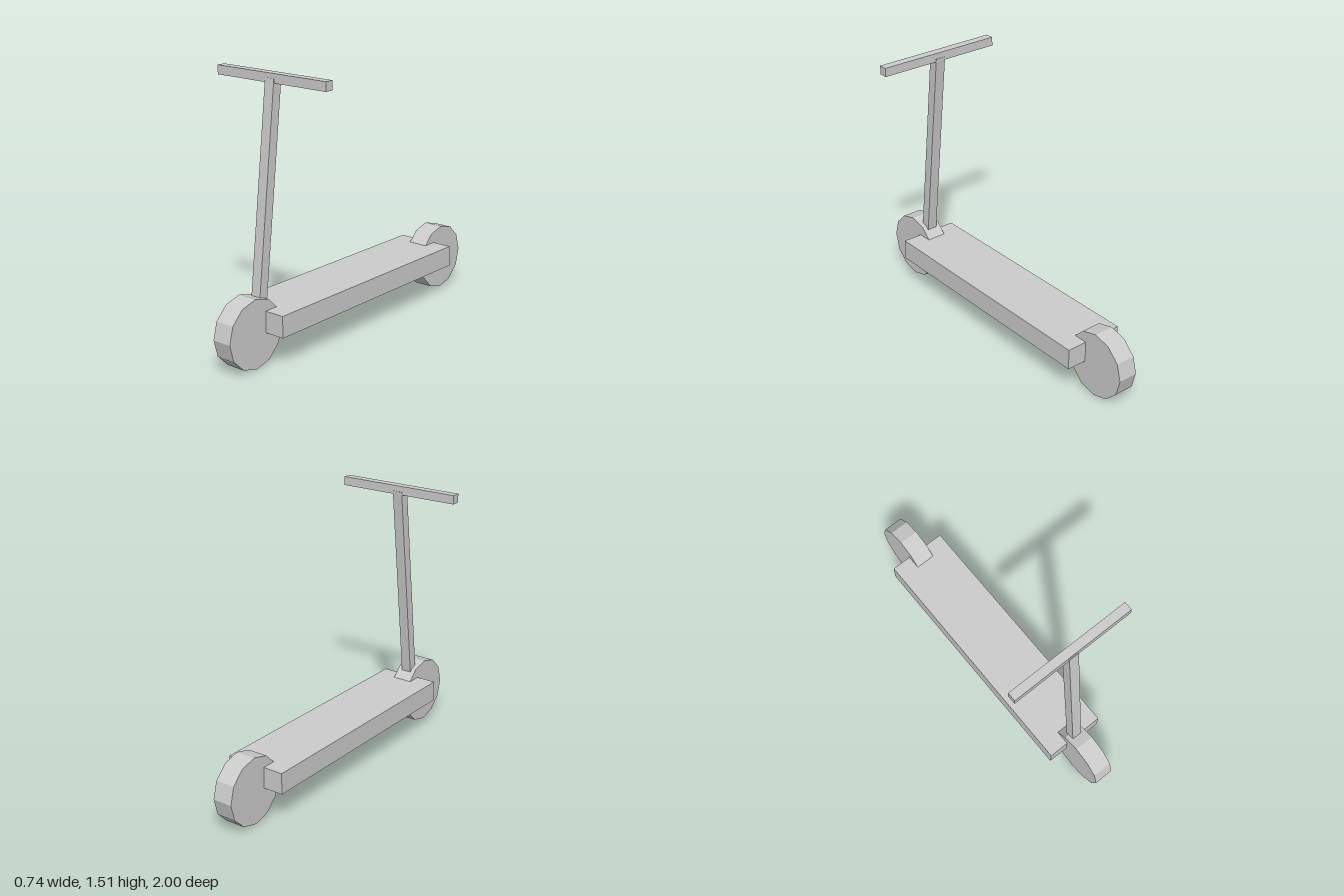
import * as THREE from 'three';

export function createModel() {
  const scooter = new THREE.Group();
  scooter.name = 'scooter';
  const grey = new THREE.MeshStandardMaterial({ color: 0xcccccc, flatShading: true });
  grey.name = 'light grey';

  const add = (name, geometry, x, y, z) => {
    const mesh = new THREE.Mesh(geometry, grey);
    mesh.name = name;
    mesh.position.set(x, y, z);
    scooter.add(mesh);
    return mesh;
  };

  // Standing board
  add('deck', new THREE.BoxGeometry(0.35, 0.12, 1.47), 0, 0.239, 0);

  // Twelve-sided wheels, with a corner pointing straight up
  const radius = 0.192;
  const wheel = new THREE.CylinderGeometry(radius, radius, 0.115, 12).rotateZ(Math.PI / 2);
  add('frontWheel', wheel, 0, radius, 1 - radius);
  add('rearWheel', wheel, 0, radius, radius - 1);

  // Steering post, leaning back from inside the front wheel
  const foot = new THREE.Vector3(0, 0.3, 0.727);
  const head = new THREE.Vector3(0, 1.485, 0.589);
  const lean = head.clone().sub(foot);
  const post = add('steeringPost', new THREE.BoxGeometry(0.06, lean.length(), 0.055),
    0, (foot.y + head.y) / 2, (foot.z + head.z) / 2);
  post.rotation.x = Math.atan2(lean.z, lean.y);

  // Crossbar
  add('handlebar', new THREE.BoxGeometry(0.735, 0.05, 0.05), 0, 1.489, 0.588);

  return scooter;
}
